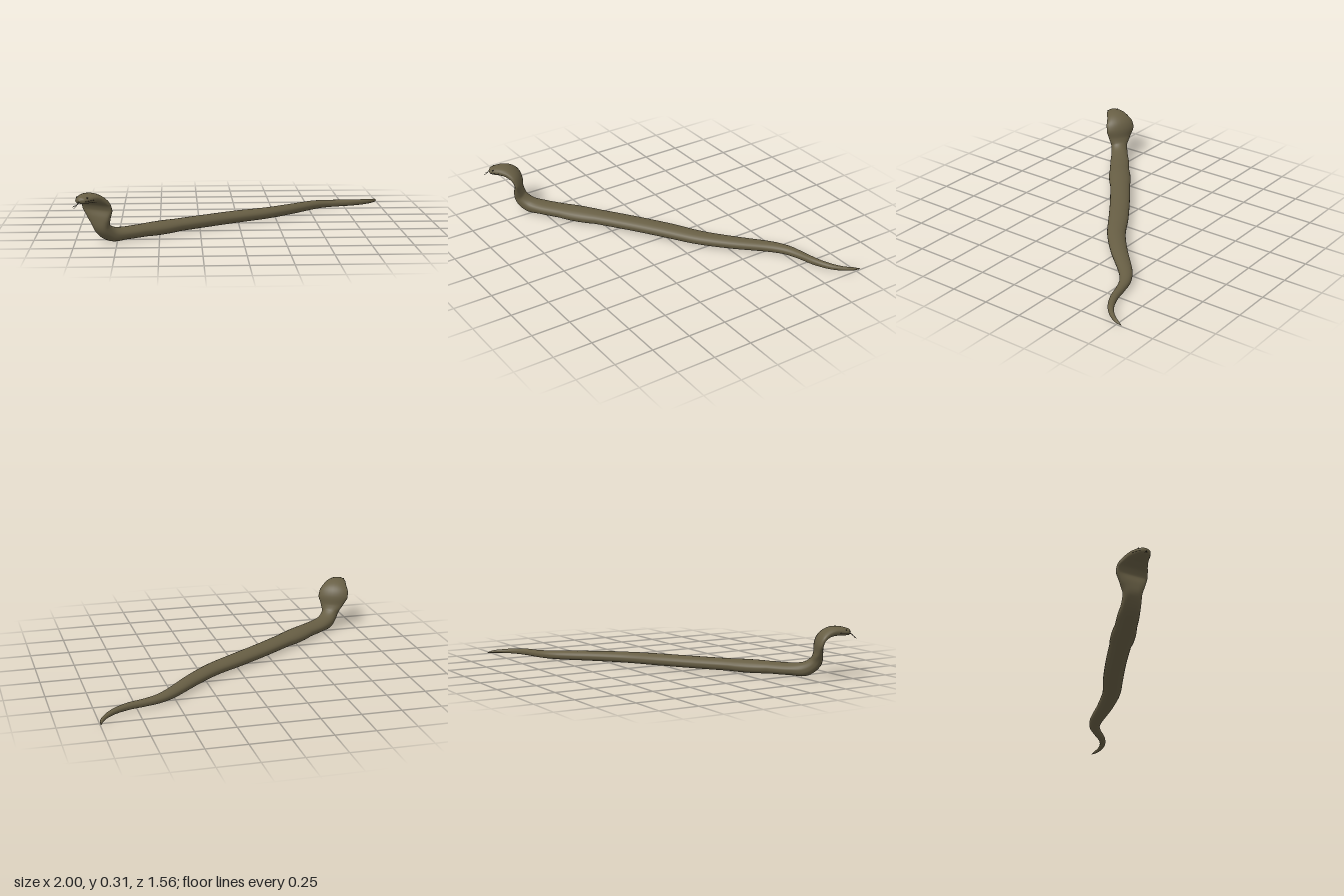
import * as THREE from 'three';

// Part lying on the floor, tail tip to neck: x, z, half width
const FLOOR = [
  [0.997, -0.782, 0.002], [0.985, -0.74, 0.01], [0.95, -0.685, 0.014], [0.89, -0.63, 0.019],
  [0.8, -0.585, 0.023], [0.7, -0.557, 0.027], [0.61, -0.525, 0.034], [0.53, -0.47, 0.041],
  [0.34, -0.28, 0.052], [0.18, -0.14, 0.058], [0, -0.022, 0.064], [-0.2, 0.115, 0.065],
  [-0.4, 0.262, 0.066], [-0.6, 0.415, 0.066], [-0.71, 0.495, 0.065],
];
// Raised neck, hood and head: x, y, z, half width, half height
const RAISED = [
  [-0.79, 0.05, 0.556, 0.058, 0.044],
  [-0.835, 0.095, 0.592, 0.056, 0.04],
  [-0.85, 0.15, 0.598, 0.078, 0.03],
  [-0.855, 0.21, 0.592, 0.102, 0.024],
  [-0.868, 0.256, 0.61, 0.099, 0.025],
  [-0.892, 0.282, 0.65, 0.078, 0.029],
  [-0.917, 0.288, 0.69, 0.062, 0.028],
  [-0.943, 0.284, 0.73, 0.044, 0.023],
  [-0.955, 0.281, 0.748, 0.032, 0.017],
  [-0.961, 0.28, 0.757, 0.001, 0.001],
];
const HEAD_HEADING = -0.53;
const NECK = FLOOR.length - 1;

// The floor part rests just above y = 0, its height following its width
const stations = FLOOR.map(([x, z, w]) => {
  const h = Math.min(w * 0.9, 0.012 + w * 0.38);
  return [x, 0.005 + h, z, w, h];
}).concat(RAISED);
const LAST = stations.length - 1;
const spine = new THREE.CatmullRomCurve3(stations.map(([x, y, z]) => new THREE.Vector3(x, y, z)));
const size = new THREE.CatmullRomCurve3(stations.map((s) => new THREE.Vector3(s[3], s[4], 0)));

// Local frame at station number k; above the neck it turns to the head's heading
function frameAt(k) {
  const p = spine.getPoint(k / LAST), r = size.getPoint(k / LAST);
  const tangent = spine.getTangent(k / LAST);
  const along = spine.getTangent(Math.min(k, NECK) / LAST);
  const turn = THREE.MathUtils.smoothstep(k, NECK, NECK + 4);
  const heading = THREE.MathUtils.lerp(Math.atan2(along.x, along.z), HEAD_HEADING, turn);
  const left = new THREE.Vector3(Math.cos(heading), 0, -Math.sin(heading));
  const up = tangent.cross(left).normalize();
  return { p, w: Math.max(r.x, 0.0005), h: Math.max(r.y, 0.0005), left, up };
}

// Point on the skin: flatter belly, and the hood's sides curl forward
function skin(f, a) {
  const c = Math.cos(a), s = Math.sin(a);
  const x = s < 0 ? Math.sign(c) * Math.pow(Math.abs(c), 0.75) : c;
  const y = s < 0 ? -Math.pow(-s, 0.75) : s;
  const curl = Math.max(0, f.w - 0.066) * 0.4 * c * c;
  return f.p.clone().addScaledVector(f.left, x * f.w).addScaledVector(f.up, y * f.h - curl);
}

function bodyGeometry(steps = 6, sides = 24) {
  const points = [], index = [], rings = LAST * steps;
  for (let i = 0; i <= rings; i++) {
    const f = frameAt(i / steps);
    for (let j = 0; j < sides; j++) points.push(skin(f, (j / sides) * Math.PI * 2));
  }
  for (let i = 0; i < rings; i++) {
    for (let j = 0; j < sides; j++) {
      const a = i * sides + j, b = i * sides + ((j + 1) % sides);
      index.push(a, b, a + sides, b, b + sides, a + sides);
    }
  }
  // End caps
  const end = rings * sides;
  for (let j = 1; j < sides - 1; j++) index.push(0, j + 1, j, end, end + j, end + j + 1);
  const g = new THREE.BufferGeometry().setFromPoints(points);
  g.setIndex(index);
  g.computeVertexNormals();
  return g;
}

export function createModel() {
  const scales = new THREE.MeshStandardMaterial({ color: 0x675e44 });
  scales.name = 'olive scales';
  const dark = new THREE.MeshStandardMaterial({ color: 0x2a241a });
  dark.name = 'dark brown';

  const model = new THREE.Group();
  model.name = 'cobra';
  const add = (name, geometry, material) => {
    const m = new THREE.Mesh(geometry, material);
    m.name = name;
    model.add(m);
    return m;
  };
  const tube = (points, r) => new THREE.TubeGeometry(new THREE.CatmullRomCurve3(points), 12, r, 6);

  // Tail, body, hood and head in one skin
  add('body', bodyGeometry(), scales);

  // Eyes and mouth line on both sides of the head
  for (const [side, label] of [[1, 'left'], [-1, 'right']]) {
    const onSide = (a) => (side > 0 ? a : Math.PI - a);
    const eye = add(label + 'Eye', new THREE.SphereGeometry(0.0045, 12, 8), dark);
    eye.position.copy(skin(frameAt(LAST - 2), onSide(0.6)));
    const lip = [2.8, 2.2, 1.6, 1].map((back) => skin(frameAt(LAST - back), onSide(-0.15)));
    add(label + 'MouthLine', tube(lip, 0.0012), dark);
  }

  // Forked tongue
  const v = (x, y, z) => new THREE.Vector3(x, y, z);
  const fork = v(-0.974, 0.258, 0.766);
  add('tongue', tube([v(-0.953, 0.273, 0.746), v(-0.965, 0.268, 0.76), fork], 0.0025), dark);
  add('tongueTipRight', tube([fork, v(-0.985, 0.254, 0.766), v(-0.997, 0.247, 0.762)], 0.0017), dark);
  add('tongueTipLeft', tube([fork, v(-0.979, 0.25, 0.774), v(-0.988, 0.243, 0.78)], 0.0017), dark);

  return model;
}
